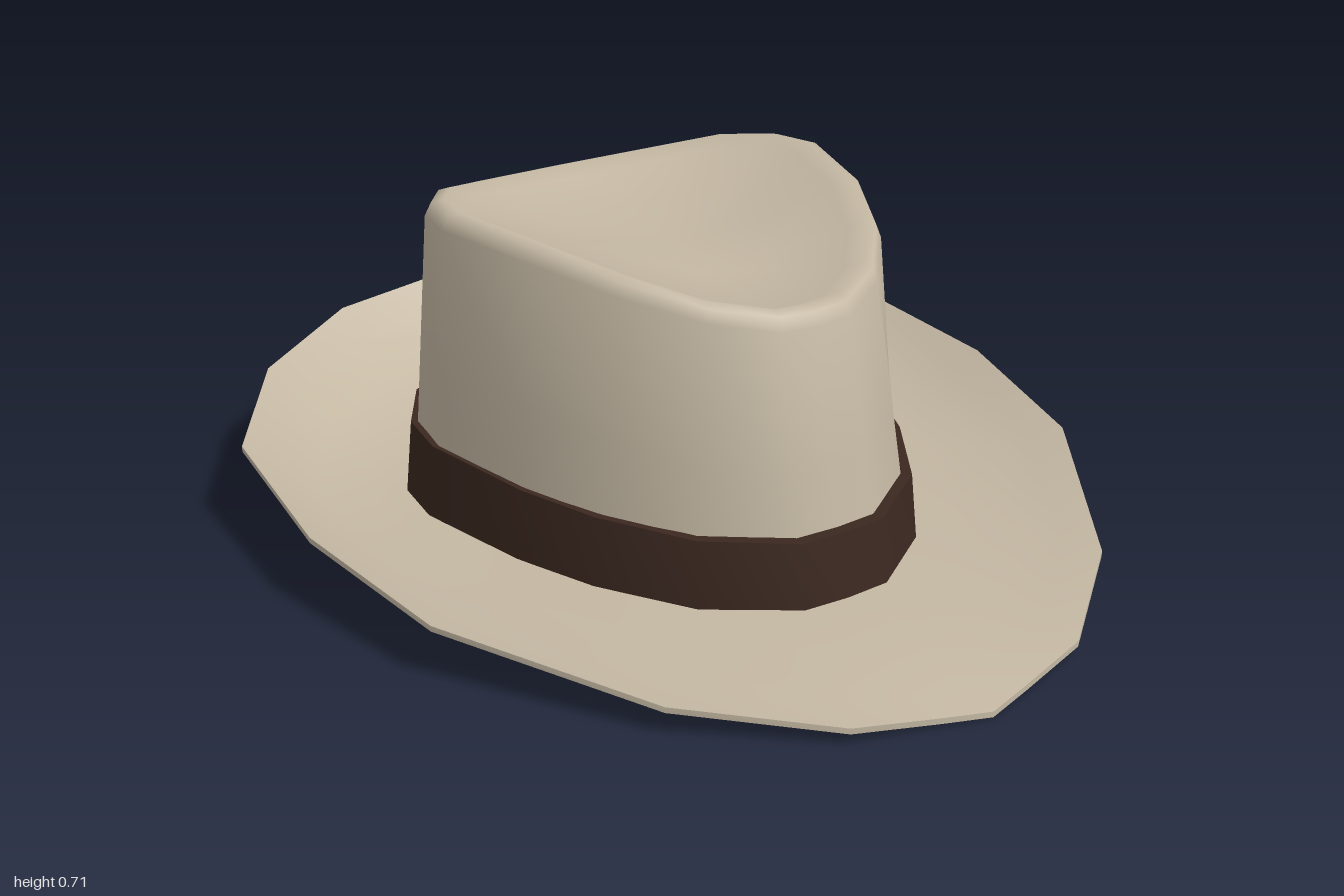
import * as THREE from 'three';
import { toCreasedNormals } from 'three/addons/utils/BufferGeometryUtils.js';

// Half outlines [x, z] (or [x, z, y]) from the back centre round to the front centre
const HEAD = [[0, -0.62], [0.26, -0.555], [0.42, -0.46], [0.505, -0.32], [0.52, -0.19],
  [0.46, 0.08], [0.39, 0.26], [0.27, 0.45], [0.1, 0.567], [0, 0.573]];
const CROWN_TOP = [[0, -0.52, 0.645], [0.24, -0.475, 0.66], [0.37, -0.4, 0.685], [0.445, -0.29, 0.7],
  [0.465, -0.17, 0.706], [0.4, 0.07, 0.695], [0.31, 0.25, 0.665], [0.2, 0.38, 0.632],
  [0.08, 0.45, 0.612], [0, 0.457, 0.61]];
const BRIM_EDGE = [[0, -1, 0.245], [0.36, -0.925, 0.235], [0.63, -0.74, 0.21], [0.82, -0.44, 0.185],
  [0.85, -0.04, 0.155], [0.78, 0.33, 0.115], [0.525, 0.725, 0.06], [0.27, 0.93, 0.035],
  [0.1, 0.975, 0.02], [0, 1, 0.012]];

// Full ring from a half outline, scaled about the head centre; height(y, z) sets each y
function ring(half, scale, height) {
  const right = half.map(([x, z, y = 0]) =>
    new THREE.Vector3(x * scale, height(y, z), (z + 0.03) * scale - 0.03));
  const left = right.slice(1, -1).reverse().map(p => new THREE.Vector3(-p.x, p.y, p.z));
  return [...right, ...left];
}

// Skin neighbouring rings, leaving out collapsed triangles
function loft(rings, crease) {
  const pos = [];
  const tri = (a, b, c) => {
    if (a.distanceTo(b) > 1e-5 && b.distanceTo(c) > 1e-5 && c.distanceTo(a) > 1e-5) {
      for (const p of [a, b, c]) pos.push(p.x, p.y, p.z);
    }
  };
  for (let r = 0; r < rings.length - 1; r++) {
    const a = rings[r], b = rings[r + 1], n = a.length;
    for (let i = 0; i < n; i++) {
      const j = (i + 1) % n;
      tri(a[i], b[i], b[j]);
      tri(a[i], b[j], a[j]);
    }
  }
  const geo = new THREE.BufferGeometry();
  geo.setAttribute('position', new THREE.Float32BufferAttribute(pos, 3));
  return toCreasedNormals(geo, crease);
}

const mix = (a, b, t) => a.map((p, i) => p.clone().lerp(b[i], t));

export function createModel() {
  const felt = new THREE.MeshStandardMaterial({ color: 0xc4b8a3, side: THREE.DoubleSide });
  const ribbon = new THREE.MeshStandardMaterial({ color: 0x3b2820, side: THREE.DoubleSide });
  const hat = new THREE.Group();
  hat.name = 'hat';
  const add = (name, geo, mat) => {
    const mesh = new THREE.Mesh(geo, mat);
    mesh.name = name;
    hat.add(mesh);
  };

  // Crown: hollow tapered wall, rounded saddle-shaped rim and shallow dented top
  const base = ring(HEAD, 0.97, () => 0.035);
  const shoulder = ring(CROWN_TOP, 1, y => y - 0.035);
  add('crown', loft([
    base,
    mix(base, shoulder, 0.5),
    shoulder,
    ring(CROWN_TOP, 0.975, y => y - 0.008),
    ring(CROWN_TOP, 0.925, y => y),
    ring(CROWN_TOP, 0.84, y => y - 0.018),
    ring(CROWN_TOP, 0.45, y => 0.6 + (y - 0.6) * 0.25),
    ring(CROWN_TOP, 0, () => 0.595),
  ], 1.2), felt);

  // Brim: thin felt that curls up at the sides and back and dips at the front
  const edge = ring(BRIM_EDGE, 1, y => y);
  const inner = ring(HEAD, 0.97, () => 0.045);
  const brimRing = (t, drop) => mix(inner, edge, t).map((p, i) => {
    p.y = 0.045 + (edge[i].y - 0.045) * t ** 2.3 - drop;
    return p;
  });
  const steps = [0, 0.3, 0.6, 0.83, 1];
  add('brim', loft([
    ...steps.map(t => brimRing(t, 0.018 - 0.006 * t)),
    ...steps.slice().reverse().map(t => brimRing(t, 0)),
  ], 0.9), felt);

  // Hat band: slightly tapered ribbon with a thin top edge
  const bandTop = (y, z) => 0.198 - 0.03 * z;
  add('hatBand', loft([
    ring(HEAD, 1, () => 0.04),
    ring(HEAD, 0.972, bandTop),
    ring(HEAD, 0.93, bandTop),
  ], 0.8), ribbon);

  return hat;
}
